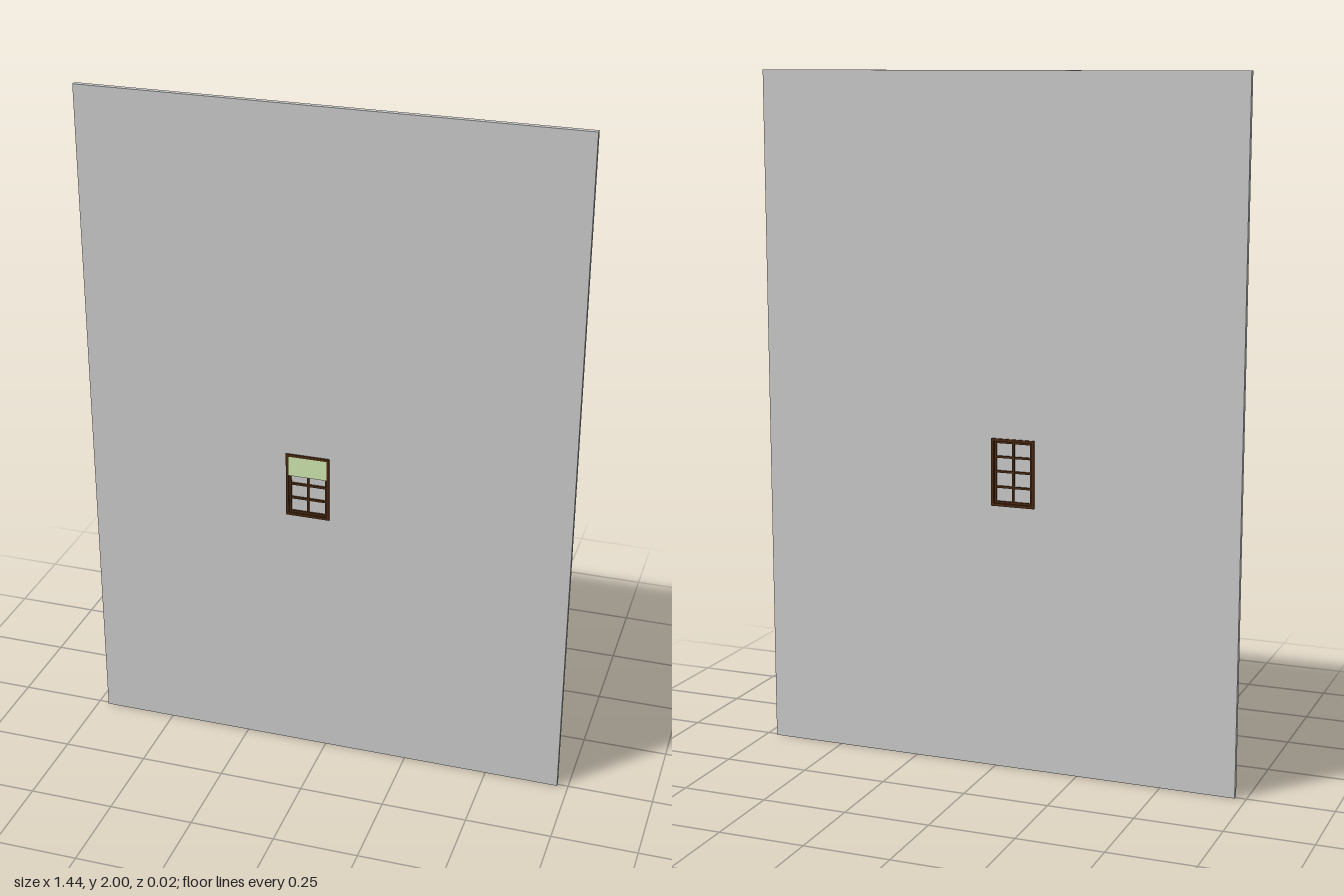
import * as THREE from 'three';

const wallMat = new THREE.MeshStandardMaterial({ color: 0xcccccc });
const woodMat = new THREE.MeshStandardMaterial({ color: 0x4a2a12 });
const blindMat = new THREE.MeshStandardMaterial({ color: 0xd0e8b0 });

// Window opening
const L = -0.118, R = 0.012, B = 0.778, T = 0.974;
const MID = (B + T) / 2, CX = (L + R) / 2;

function rect(target, x0, x1, y0, y1) {
  target.moveTo(x0, y0);
  target.lineTo(x1, y0);
  target.lineTo(x1, y1);
  target.lineTo(x0, y1);
  target.closePath();
  return target;
}

// Rectangular panel with rectangular holes, filling z0..z1
function panel(name, mat, [x0, x1, y0, y1], holes, z0, z1) {
  const shape = rect(new THREE.Shape(), x0, x1, y0, y1);
  for (const h of holes) shape.holes.push(rect(new THREE.Path(), ...h));
  const geo = new THREE.ExtrudeGeometry(shape, { depth: z1 - z0, bevelEnabled: false });
  geo.translate(0, 0, z0);
  const mesh = new THREE.Mesh(geo, mat);
  mesh.name = name;
  return mesh;
}

// Sash with two columns and two rows of panes
function sash(name, y0, y1, z0, z1) {
  const rail = 0.006, bar = 0.003;
  const x0 = L + 0.008, x1 = R - 0.008, cy = (y0 + y1) / 2;
  const holes = [];
  for (const [a, b] of [[x0 + rail, CX - bar], [CX + bar, x1 - rail]]) {
    for (const [c, d] of [[y0 + rail, cy - bar], [cy + bar, y1 - rail]]) holes.push([a, b, c, d]);
  }
  const group = new THREE.Group();
  group.name = name;
  group.add(
    panel('sashFrame', woodMat, [x0, x1, y0, y1], holes, z0, z1),
    panel('glass', wallMat, [x0, x1, y0, y1], [], -0.001, 0.001)
  );
  return group;
}

export function createModel() {
  const model = new THREE.Group();
  model.name = 'wallWithWindow';

  model.add(panel('wall', wallMat, [-0.718, 0.718, 0, 2], [[L, R, B, T]], -0.008, 0.008));

  // Window: outer frame, two sashes and a roller blind
  const frame = 0.008;
  model.add(panel('windowFrame', woodMat, [L, R, B, T],
    [[L + frame, R - frame, B + frame, T - frame]], -0.012, 0.012));
  model.add(sash('lowerSash', B + frame, MID + 0.005, -0.007, 0.007));
  model.add(sash('upperSash', MID - 0.001, T - frame, -0.0065, 0.0065));
  model.add(panel('blind', blindMat, [L + frame, R - frame, 0.905, T - frame], [], 0.0085, 0.0105));

  return model;
}
